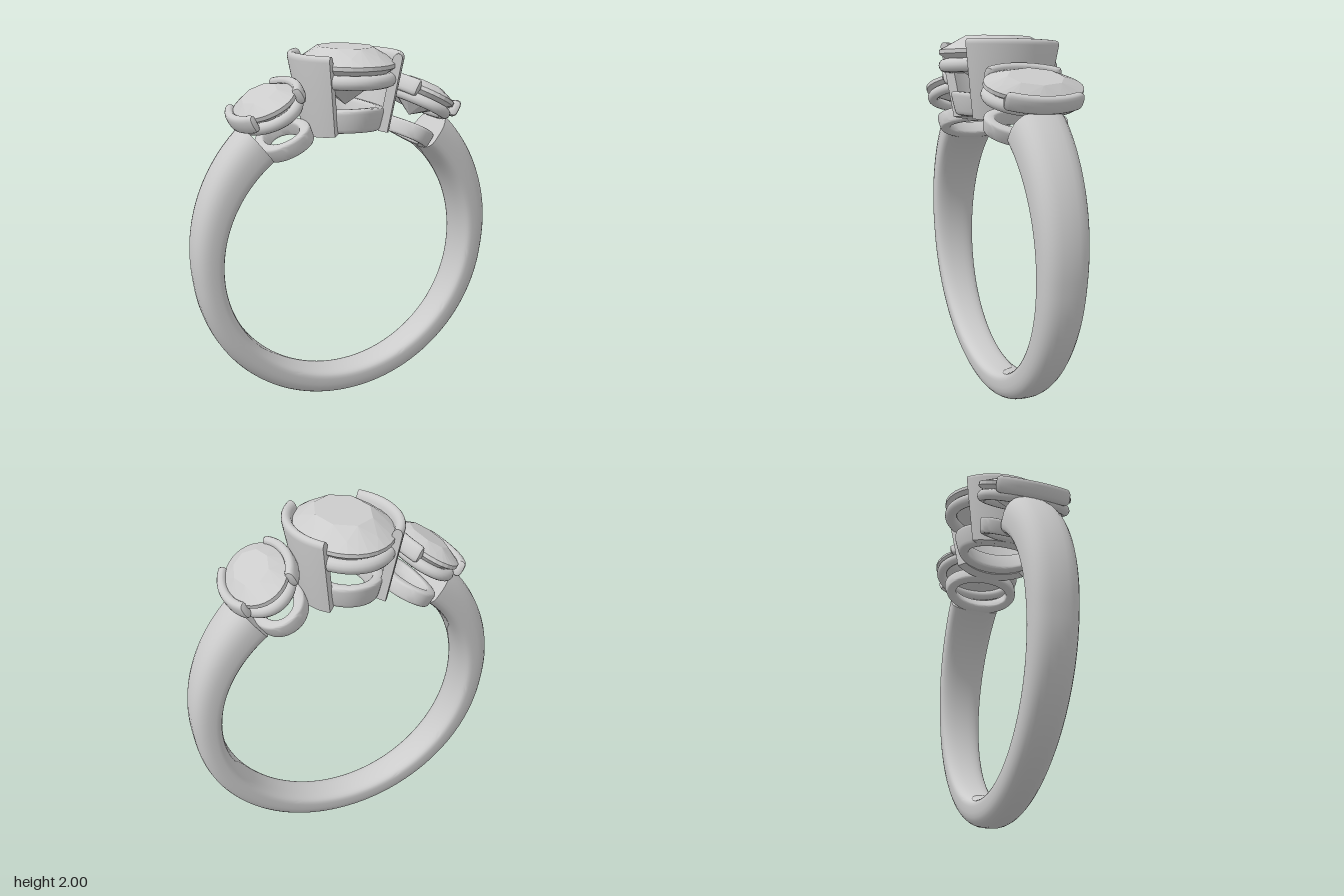
import * as THREE from 'three';
import { toCreasedNormals } from 'three/addons/utils/BufferGeometryUtils.js';
import { ConvexGeometry } from 'three/addons/geometries/ConvexGeometry.js';

const material = new THREE.MeshStandardMaterial({ color: 0xcccccc });
const { lerp, degToRad } = THREE.MathUtils;
const FINGER_Y = 0.87, FINGER_R = 0.715;

function add(parent, name, geometry) {
  const mesh = new THREE.Mesh(geometry, material);
  mesh.name = name;
  parent.add(mesh);
  return mesh;
}

// Skin a run of cross-sections; sectionAt(t, s) gives [x, y, z] points, s runs 0..1
function sweep(t0, t1, steps, closed, sectionAt) {
  const rings = [];
  for (let i = 0; i < (closed ? steps : steps + 1); i++) {
    rings.push(sectionAt(lerp(t0, t1, i / steps), i / steps));
  }
  const n = rings[0].length, m = rings.length;
  const points = rings.flat();
  let faces = [];
  for (let i = 0; i < (closed ? m : m - 1); i++) {
    for (let j = 0; j < n; j++) {
      const k = (j + 1) % n, a = i * n, b = ((i + 1) % m) * n;
      faces.push([a + j, b + j, b + k], [a + j, b + k, a + k]);
    }
  }
  if (!closed) {
    const e = (m - 1) * n;
    for (let j = 1; j < n - 1; j++) faces.push([0, j, j + 1], [e, e + j + 1, e + j]);
  }
  // Turn the faces outward if the enclosed volume is negative
  const v = points.map((p) => new THREE.Vector3(...p));
  const cross = new THREE.Vector3();
  let volume = 0;
  for (const [a, b, c] of faces) volume += v[a].dot(cross.crossVectors(v[b], v[c]));
  if (volume < 0) faces = faces.map(([a, b, c]) => [a, c, b]);
  const geometry = new THREE.BufferGeometry().setFromPoints(v);
  geometry.setIndex(faces.flat());
  return toCreasedNormals(geometry, 0.7);
}

// Superellipse cross-section within -1..1
function rounded(power, count) {
  const bend = (c) => Math.sign(c) * Math.abs(c) ** power;
  return Array.from({ length: count }, (_, i) => {
    const a = (i / count) * Math.PI * 2;
    return [bend(Math.cos(a)), bend(Math.sin(a))];
  });
}

// Tapering band, open at the top
function shankGeometry() {
  const section = rounded(0.72, 28);
  const end = 142.5;
  return sweep(-end, end, 120, false, (deg) => {
    const grow = Math.max(0, (Math.abs(deg) - 85) / (end - 85)) ** 1.2;
    const outer = 0.868 + 0.074 * grow;
    const a = degToRad(deg - 90), thick = outer - FINGER_R;
    const half = 0.095 + 0.034 * (FINGER_Y + outer * Math.sin(a));
    return section.map(([u, w]) => {
      const depth = u < 0 ? 0.3 * (1 + u) : 0.3 + 0.7 * u;
      const r = FINGER_R + thick * depth;
      return [r * Math.cos(a), FINGER_Y + r * Math.sin(a), half * w];
    });
  });
}

// Oval collar lying on the finger circle, whose centre is the local origin
function baseRingGeometry(a, b, height, flare) {
  const section = rounded(0.4, 20);
  return sweep(0, Math.PI * 2, 56, true, (t) => section.map(([u, w]) => {
    const f = (w + 1) / 2, off = 0.03 * u - 0.03 - flare * (1 - f);
    const x = (a + off) * Math.cos(t), z = (b + off) * Math.sin(t);
    return [x, Math.sqrt(FINGER_R ** 2 - x * x) + height * f, z];
  }));
}

// Round wire bent to an oval
function railGeometry(a, b, radius) {
  const section = rounded(1, 14);
  return sweep(0, Math.PI * 2, 56, true, (t) => section.map(([u, w]) =>
    [(a + radius * u) * Math.cos(t), radius * w, (b + radius * u) * Math.sin(t)]));
}

// Bar prong hugging the +x side of an oval, with rounded ends
function barGeometry(a, b, halfWidth, halfHeight, spread) {
  const section = rounded(0.7, 16);
  return sweep(-spread, spread, 32, false, (t, s) => {
    const e = Math.max(0, (Math.abs(s - 0.5) - 0.44) / 0.06);
    const k = Math.max(0.15, Math.sqrt(1 - Math.min(1, e * e)));
    return section.map(([u, w]) => [
      (a + halfWidth * u * k) * Math.cos(t), halfHeight * w * k,
      (b + halfWidth * u * k) * Math.sin(t)]);
  });
}

// Flared curved wall on the +x side of the centre stone, rounded along the top
function wallGeometry() {
  const c = 0.026, round = 0.07, section = [[-1, 0], [1, 0]];
  for (let i = 0; i <= 8; i++) {
    const a = (i / 8) * Math.PI;
    section.push([Math.cos(a), 1 - round * (1 - Math.sin(a))]);
  }
  const spread = degToRad(48);
  return sweep(-spread, spread, 28, false, (t) => section.map(([u, f]) => {
    const x = (lerp(0.22, 0.3, f) - c + c * u) * Math.cos(t);
    const z = (lerp(0.28, 0.36, f) - c + c * u) * Math.sin(t);
    const bottom = FINGER_Y + Math.sqrt(FINGER_R ** 2 - x * x);
    return [x, lerp(bottom, 1.975, f), z];
  }));
}

// Faceted oval stone with its girdle at y = 0
function gemGeometry(a, b, crown, depth) {
  const points = [new THREE.Vector3(0, -depth, 0)];
  const ring = (count, r, y, turn) => {
    for (let i = 0; i < count; i++) {
      const t = ((i + turn) / count) * Math.PI * 2;
      points.push(new THREE.Vector3(a * r * Math.cos(t), y, b * r * Math.sin(t)));
    }
  };
  ring(8, 0.58, crown, 0);
  ring(8, 0.82, crown * 0.52, 0.5);
  ring(32, 1, 0.01, 0);
  ring(32, 1, -0.01, 0);
  ring(8, 0.5, -depth * 0.57, 0.5);
  return new ConvexGeometry(points);
}

export function createModel() {
  const model = new THREE.Group();
  model.name = 'threeStoneRing';
  add(model, 'shank', shankGeometry());

  // Centre setting
  const centre = new THREE.Group();
  centre.name = 'centreSetting';
  model.add(centre);
  add(centre, 'centreStone', gemGeometry(0.245, 0.33, 0.085, 0.22)).position.y = 1.915;
  add(centre, 'centreRail', railGeometry(0.22, 0.295, 0.036)).position.y = 1.845;
  add(centre, 'centreBase', baseRingGeometry(0.2, 0.27, 0.125, 0.03)).position.y = FINGER_Y;
  const wall = wallGeometry();
  add(centre, 'leftWall', wall);
  add(centre, 'rightWall', wall).rotation.y = Math.PI;

  // Side settings, swung about the finger centre
  const base = baseRingGeometry(0.15, 0.23, 0.085, 0.01);
  const stone = gemGeometry(0.165, 0.265, 0.052, 0.14);
  const rail = railGeometry(0.145, 0.235, 0.03);
  const bar = barGeometry(0.178, 0.28, 0.026, 0.045, degToRad(47));
  for (const side of [1, -1]) {
    const setting = new THREE.Group();
    setting.name = side > 0 ? 'leftSetting' : 'rightSetting';
    setting.position.y = FINGER_Y;
    setting.rotation.z = -side * degToRad(27.5);
    model.add(setting);
    add(setting, 'sideBase', base);
    const head = new THREE.Group();
    head.name = 'sideHead';
    head.position.y = 0.977;
    setting.add(head);
    add(head, 'sideStone', stone);
    add(head, 'sideRail', rail).position.y = -0.06;
    add(head, 'barProng', bar).position.y = -0.01;
    const opposite = add(head, 'barProng', bar);
    opposite.position.y = -0.01;
    opposite.rotation.y = Math.PI;
  }
  return model;
}
